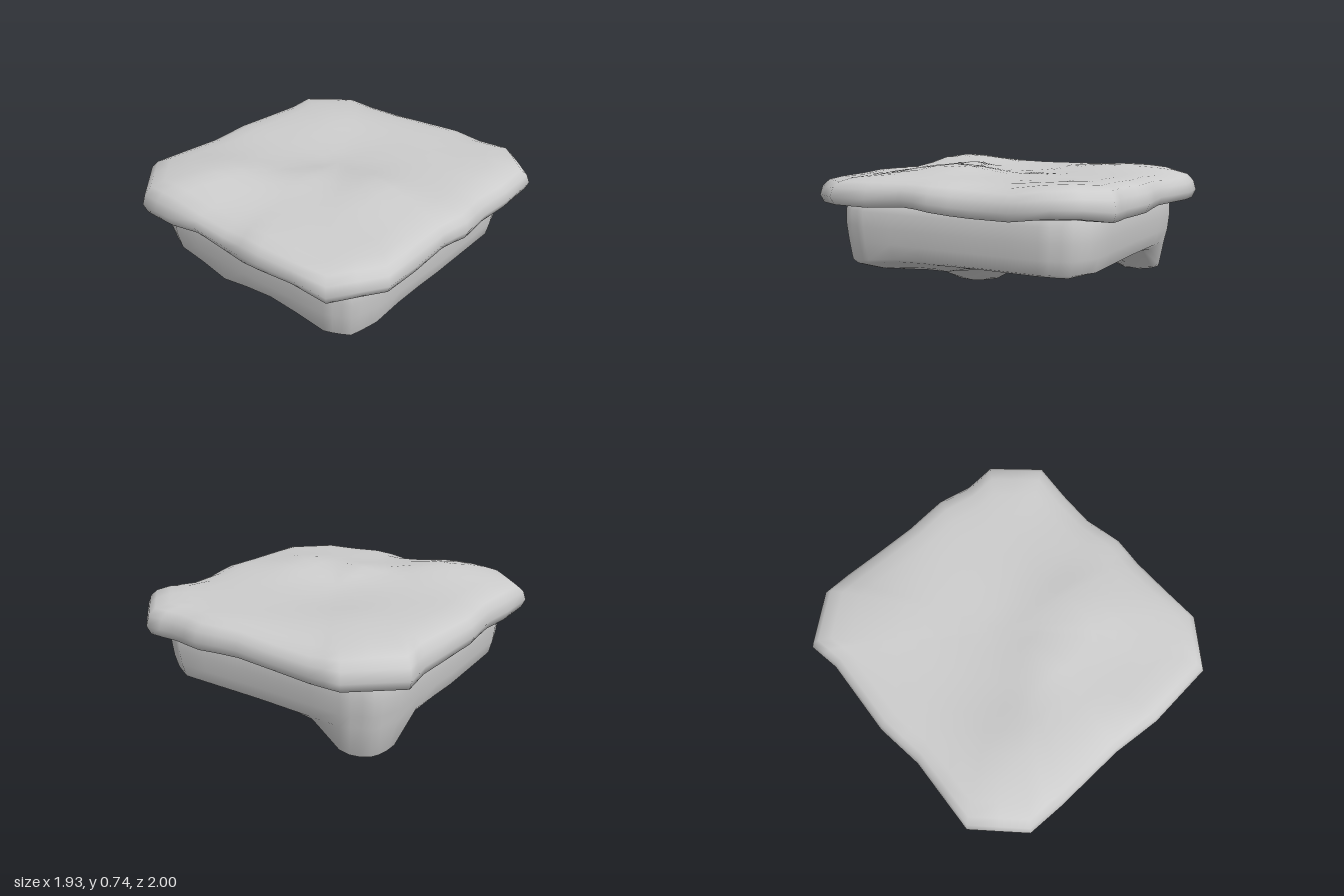
import * as THREE from 'three';
import { mergeVertices } from 'three/addons/utils/BufferGeometryUtils.js';

const { lerp, smoothstep } = THREE.MathUtils;
const bump = (x, z, cx, cz, r) => Math.exp(-((x - cx) ** 2 + (z - cz) ** 2) / (r * r));
const plateau = (x, z, cx, cz, rx, rz) =>
  Math.exp(-((((x - cx) / rx) ** 2 + ((z - cz) / rz) ** 2) ** 2));

// Splits every edge of a closed outline into n pieces
function subdivide(points, n) {
  return points.flatMap(([x, z], i) => {
    const [x2, z2] = points[(i + 1) % points.length];
    return Array.from({ length: n }, (_, k) => [x + ((x2 - x) * k) / n, z + ((z2 - z) * k) / n]);
  });
}

// Skins rings of one outline from top to bottom; each ring is [scale, height or height(x, z)]
function loft(outline, rings) {
  const positions = [], index = [], n = outline.length;
  for (const [s, h] of rings)
    for (const [px, pz] of outline) {
      const x = px * s, z = pz * s;
      positions.push(x, typeof h === 'function' ? h(x, z) : h, z);
    }
  for (let r = 0; r < rings.length - 1; r++)
    for (let i = 0; i < n; i++) {
      const a = r * n + i, b = r * n + ((i + 1) % n), c = a + n, d = b + n;
      if (rings[r][0] > 0) index.push(a, b, d);
      if (rings[r + 1][0] > 0) index.push(a, d, c);
    }
  const g = new THREE.BufferGeometry();
  g.setAttribute('position', new THREE.Float32BufferAttribute(positions, 3));
  g.setIndex(index);
  const merged = mergeVertices(g, 1e-4);
  merged.computeVertexNormals();
  return merged;
}

// Gently uneven top of the slab: mounds, hollows and dips along the rim
const topHeight = (x, z) => 0.69
  + 0.06 * bump(x, z, -0.42, 0.6, 0.28) + 0.055 * bump(x, z, 0.42, 0.2, 0.28)
  + 0.035 * bump(x, z, 0.02, 0.3, 0.18) + 0.025 * bump(x, z, -0.5, -0.55, 0.28)
  - 0.015 * bump(x, z, -0.1, -0.15, 0.25) + 0.02 * bump(x, z, 0.82, -0.66, 0.18)
  - 0.05 * bump(x, z, -0.08, 0.98, 0.18) - 0.03 * bump(x, z, -0.4, -0.98, 0.25)
  - 0.03 * bump(x, z, 0.95, -0.42, 0.22) - 0.02 * bump(x, z, 0.6, 0.85, 0.3);

// Wavy lower edge of the slab, lifting towards three of its corners
const lipHeight = (x, z) => 0.497
  + 0.04 * bump(x, z, -0.2, 0.97, 0.16) + 0.04 * bump(x, z, 0.42, 0.97, 0.18)
  + 0.04 * bump(x, z, 0.94, 0.2, 0.3) + 0.02 * bump(x, z, -0.94, 0, 0.35)
  + 0.02 * bump(x, z, 0, -0.97, 0.35)
  + 0.045 * bump(x, z, 0.95, -0.8, 0.22) + 0.025 * bump(x, z, 0.93, 0.75, 0.16)
  + 0.025 * bump(x, z, -0.95, 0.75, 0.16);

// Lower edge of the block's walls, sagging at the front
const edgeHeight = (x, z) => 0.2
  - 0.06 * bump(x, z, -0.2, 0.82, 0.2) - 0.06 * bump(x, z, 0.62, 0.7, 0.26);

// Underside of the block, with two lumpy feet
function underHeight(x, z) {
  const base = lerp(0.17, 0.115, smoothstep(z, -0.2, 0.15)) - 0.03 * bump(x, z, 0.55, 0.6, 0.22);
  const rim = smoothstep(Math.max(Math.abs(x), Math.abs(z)), 0.56, 0.8);
  const foot = Math.max(
    plateau(x, z, -0.61, -0.62, 0.23, 0.25),
    plateau(x, z, 0.21, 0.16, 0.2, 0.27));
  return lerp(lerp(base, edgeHeight(x, z), rim), 0.005, foot);
}

export function createModel() {
  const grey = new THREE.MeshStandardMaterial({ color: 0xcccccc });
  grey.name = 'stone grey';
  const model = new THREE.Group();
  model.name = 'stoneBlock';
  const add = (name, geometry) => {
    const mesh = new THREE.Mesh(geometry, grey);
    mesh.name = name;
    model.add(mesh);
  };

  // Overhanging slab with chipped corners
  const slabOutline = subdivide([
    [-0.69, -0.98], [-0.5, -0.99], [0, -0.975], [0.28, -1], [0.5, -0.96], [0.7, -0.975],
    [0.95, -0.73], [0.925, -0.25], [0.965, 0], [0.94, 0.2], [0.945, 0.7],
    [0.75, 0.965], [0.3, 1], [0, 0.975], [-0.45, 0.99], [-0.7, 0.985],
    [-0.96, 0.73], [-0.93, 0.25], [-0.965, -0.05], [-0.93, -0.55], [-0.96, -0.75],
  ], 2);
  add('topSlab', loft(slabOutline, [
    ...[0, 0.15, 0.3, 0.42, 0.54, 0.66, 0.78].map((s) => [s, topHeight]),
    [0.88, (x, z) => topHeight(x, z) - 0.008],
    [0.95, (x, z) => topHeight(x, z) - 0.03],
    [0.985, (x, z) => lerp(topHeight(x, z), lipHeight(x, z), 0.4)],
    [1, (x, z) => lerp(topHeight(x, z), lipHeight(x, z), 0.72)],
    [0.98, lipHeight], [0.88, (x, z) => lipHeight(x, z) - 0.005], [0, 0.5],
  ]));

  // Lower block with rounded corners and feet
  const blockOutline = subdivide([
    [-0.58, -0.83], [0, -0.82], [0.58, -0.83], [0.73, -0.75], [0.79, -0.58], [0.8, 0], [0.79, 0.58],
    [0.74, 0.75], [0.6, 0.82], [0, 0.84], [-0.6, 0.83], [-0.76, 0.76],
    [-0.81, 0.6], [-0.83, 0], [-0.81, -0.6], [-0.75, -0.76],
  ], 3);
  add('lowerBlock', loft(blockOutline, [
    [0, 0.55], [0.98, 0.55], [1.01, 0.47], [1.01, 0.38], [1, 0.29],
    [0.98, (x, z) => edgeHeight(x, z) + 0.01],
    ...[0.95, 0.9, 0.82, 0.73, 0.64, 0.55, 0.46, 0.37, 0.28, 0.19, 0.1, 0].map((s) => [s, underHeight]),
  ]));
  return model;
}
